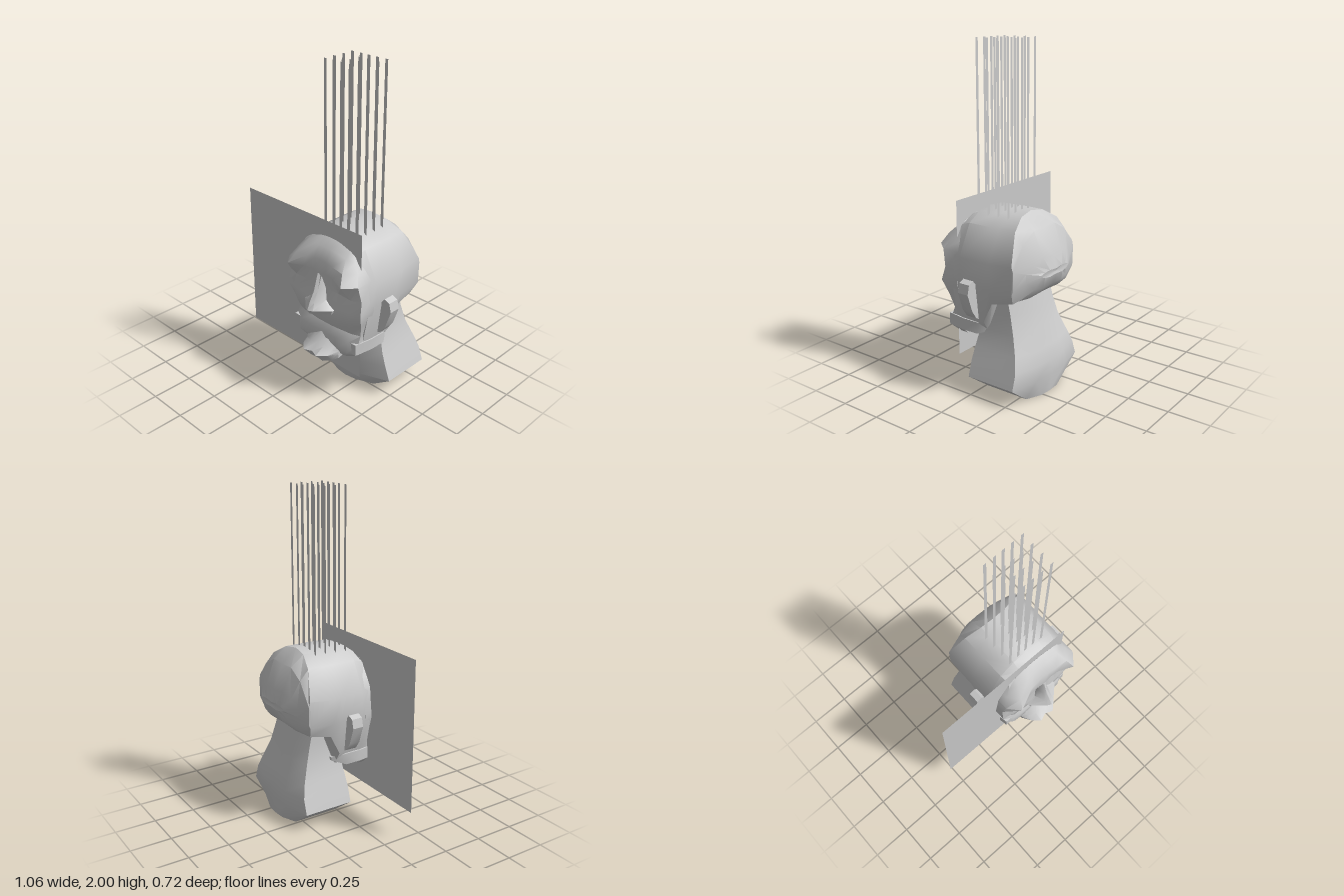
import * as THREE from 'three';
import { toCreasedNormals, mergeVertices } from 'three/addons/utils/BufferGeometryUtils.js';

const CX = 0.165; // the head sits to one side of the centre
const material = new THREE.MeshStandardMaterial({ color: 0xcccccc });
const thin = new THREE.MeshStandardMaterial({ color: 0xcccccc, side: THREE.DoubleSide });

// Completes a half section that starts and ends on the mirror line
const mirror = (half) => [...half, ...half.slice(1, -1).reverse().map(([x, y, z]) => [-x, y, z])];

// Skins closed rings of equal length, caps both ends and turns faces outward
function loft(rings, crease = 0.6) {
  const n = rings[0].length, pos = rings.flat(2), idx = [];
  for (let r = 0; r < rings.length - 1; r++)
    for (let i = 0; i < n; i++) {
      const a = r * n + i, b = r * n + (i + 1) % n;
      idx.push(a, b, a + n, b, b + n, a + n);
    }
  for (const r of [0, rings.length - 1]) {
    const c = pos.length / 3;
    for (let k = 0; k < 3; k++) pos.push(rings[r].reduce((s, p) => s + p[k], 0) / n);
    for (let i = 0; i < n; i++) {
      const a = r * n + i, b = r * n + (i + 1) % n;
      r ? idx.push(a, b, c) : idx.push(b, a, c);
    }
  }
  const P = (i) => new THREE.Vector3().fromArray(pos, i * 3);
  let volume = 0;
  for (let i = 0; i < idx.length; i += 3)
    volume += P(idx[i]).dot(P(idx[i + 1]).cross(P(idx[i + 2])));
  if (volume < 0) idx.reverse();
  const g = new THREE.BufferGeometry();
  g.setAttribute('position', new THREE.Float32BufferAttribute(pos, 3));
  g.setIndex(idx);
  return toCreasedNormals(mergeVertices(g), crease);
}

export function createModel() {
  const model = new THREE.Group();
  const add = (name, geometry, x = 0, y = 0, z = 0, mat = material) => {
    const m = new THREE.Mesh(geometry, mat);
    m.name = name;
    m.position.set(x, y, z);
    model.add(m);
    return m;
  };

  // Cranium: sections from front to back; bow bends a section along z
  const cranium = [
    { z: 0.16, bow: 0, p: [[0, 1.012], [0.1, 1.0], [0.19, 0.96], [0.275, 0.8], [0.29, 0.63], [0.255, 0.45], [0.24, 0.35], [0, 0.33]] },
    { z: 0.1, bow: 0, p: [[0, 1.045], [0.1, 1.035], [0.2, 0.98], [0.293, 0.8], [0.293, 0.65], [0.265, 0.44], [0.24, 0.35], [0, 0.33]] },
    { z: -0.05, bow: 0, p: [[0, 1.05], [0.1, 1.04], [0.2, 0.98], [0.295, 0.8], [0.295, 0.65], [0.27, 0.44], [0.22, 0.36], [0, 0.36]] },
    { z: -0.11, bow: 0, p: [[0, 1.052], [0.1, 1.04], [0.2, 0.98], [0.295, 0.8], [0.295, 0.65], [0.27, 0.56], [0.2, 0.54], [0, 0.54]] },
    { z: -0.18, bow: -1, p: [[0, 1.055], [0.1, 1.04], [0.2, 0.98], [0.295, 0.82], [0.295, 0.66], [0.26, 0.59], [0.18, 0.57], [0, 0.57]] },
    { z: -0.275, bow: 0, p: [[0, 0.97], [0.1, 0.975], [0.2, 0.92], [0.293, 0.79], [0.29, 0.68], [0.22, 0.61], [0.14, 0.595], [0, 0.6]] },
    { z: -0.338, bow: 0.8, p: [[0, 0.82], [0.09, 0.83], [0.16, 0.8], [0.21, 0.76], [0.21, 0.71], [0.15, 0.66], [0.09, 0.65], [0, 0.66]] },
    { z: -0.358, bow: 0.6, p: [[0, 0.75], [0.06, 0.755], [0.1, 0.75], [0.13, 0.74], [0.13, 0.73], [0.1, 0.72], [0.06, 0.715], [0, 0.72]] },
  ];
  add('cranium', loft(cranium.map(({ z, bow, p }) =>
    mirror(p.map(([x, y]) => [x, y, z + bow * x * x])))), CX);

  // Face: rows of height, half width, edge drop and depths from middle to edge
  const across = [0, 0.2, 0.42, 0.77, 1];
  const face = [
    [1.01, 0.19, 0.05, 0.167, 0.167, 0.167, 0.167, 0.16],
    [0.97, 0.205, 0.04, 0.215, 0.215, 0.215, 0.21, 0.18],
    [0.9, 0.24, 0.02, 0.25, 0.255, 0.262, 0.268, 0.2],
    [0.83, 0.275, 0.01, 0.27, 0.265, 0.27, 0.31, 0.235],
    [0.72, 0.285, 0, 0.24, 0.235, 0.23, 0.235, 0.215],
    [0.64, 0.295, 0, 0.265, 0.26, 0.255, 0.25, 0.235],
    [0.55, 0.27, 0, 0.25, 0.25, 0.25, 0.24, 0.2],
    [0.47, 0.25, 0, 0.215, 0.215, 0.21, 0.2, 0.18],
    [0.42, 0.25, 0, 0.24, 0.24, 0.24, 0.23, 0.2],
    [0.35, 0.25, 0, 0.25, 0.245, 0.24, 0.235, 0.2],
    [0.29, 0.21, -0.02, 0.22, 0.22, 0.21, 0.2, 0.17],
  ];
  add('face', loft(face.map(([y, w, drop, ...zs]) => mirror([
    ...zs.map((z, i) => [w * across[i], y - drop * across[i] ** 2, z]),
    [w, y - drop, 0.12],
    [0, y, 0.12],
  ])), 0.8), CX);

  // Nose: height, bridge half width, wing half width, ridge depth, wing depth
  const nose = [
    [0.82, 0.01, 0.02, 0.275, 0.26],
    [0.72, 0.015, 0.03, 0.305, 0.25],
    [0.66, 0.022, 0.05, 0.34, 0.265],
    [0.615, 0.03, 0.11, 0.36, 0.27],
    [0.59, 0.03, 0.1, 0.345, 0.27],
    [0.57, 0.02, 0.05, 0.3, 0.255],
  ];
  add('nose', loft(nose.map(([y, b, w, zr, zw]) =>
    mirror([[0, y, zr], [b, y, zr - 0.015], [w, y, zw], [w, y, 0.2], [0, y, 0.2]]))), CX);

  // Jutting mouth: side profiles swept across x, notched in the middle
  const mouth = [[-0.13, 0.24], [-0.1, 0.3], [-0.05, 0.345], [0, 0.325], [0.05, 0.345], [0.1, 0.3], [0.13, 0.24]];
  add('mouth', loft(mouth.map(([x, z]) => {
    const k = Math.abs(x) / 0.13;
    return [
      [x, 0.43 - 0.08 * k, 0.23],
      [x, 0.365 - 0.03 * k, 0.23 + (z - 0.23) * 0.5],
      [x, 0.32, z],
      [x, 0.25 + 0.04 * k * k, 0.23 + (z - 0.23) * 0.5],
      [x, 0.28 + 0.02 * k, 0.18],
    ];
  })), CX);

  // Jaw rims running back under the ears
  for (const s of [-1, 1]) {
    const rim = [[0.22, 0.25], [0.1, 0.27], [0, 0.27], [-0.075, 0.22]];
    add(s > 0 ? 'leftJaw' : 'rightJaw', loft(rim.map(([z, w], i) => {
      const h = i === 3 ? 0.01 : 0.035;
      return [[s * w, 0.39 + h, z], [s * w, 0.39 - h, z], [s * 0.12, 0.385 - h, z], [s * 0.12, 0.39 + h, z]];
    })), CX);
  }

  // Ears
  for (const s of [-1, 1]) {
    const outline = [[0.27, 0.64], [0.29, 0.66], [0.315, 0.69], [0.35, 0.675], [0.363, 0.62], [0.325, 0.51], [0.29, 0.46], [0.27, 0.45]];
    add(s > 0 ? 'leftEar' : 'rightEar', loft([-0.015, 0.055].map((z) =>
      outline.map(([x, y]) => [s * x, y, z])), 0.5), CX);
  }

  // Neck: height, half width, front and back depth, flaring to a bevelled base
  const neck = [
    [0.62, 0.2, -0.02, -0.22],
    [0.5, 0.205, 0.03, -0.25],
    [0.39, 0.22, 0.07, -0.28],
    [0.28, 0.255, 0.085, -0.32],
    [0.2, 0.285, 0.09, -0.343],
    [0.11, 0.316, 0.088, -0.345],
    [0.01, 0.17, 0.06, -0.335],
  ];
  add('neck', loft(neck.map(([y, w, zf, zb]) => {
    const tilt = (z) => (y < 0.05 ? y + (z > 0 ? 0.012 : -0.01) : y);
    return mirror([[0, zf], [0.45 * w, zf - 0.01], [w, zf - 0.075], [w, zb + 0.045], [0.45 * w, zb + 0.005], [0, zb]]
      .map(([x, z]) => [x, tilt(z), z]));
  })), 0.184);

  // Flat panel cutting through the face
  add('panel', new THREE.PlaneGeometry(0.93, 0.935), -0.065, 0.637, 0.166, thin);

  // Upright flat strands of hair in four rows
  const strand = new THREE.PlaneGeometry(0.02, 1);
  for (let row = 0; row < 4; row++)
    for (const x of [0.047, 0.11, 0.167, 0.227, 0.292])
      add('hairStrand', strand, x, 1.5, -0.12 + row * 0.07, thin);

  return model;
}
